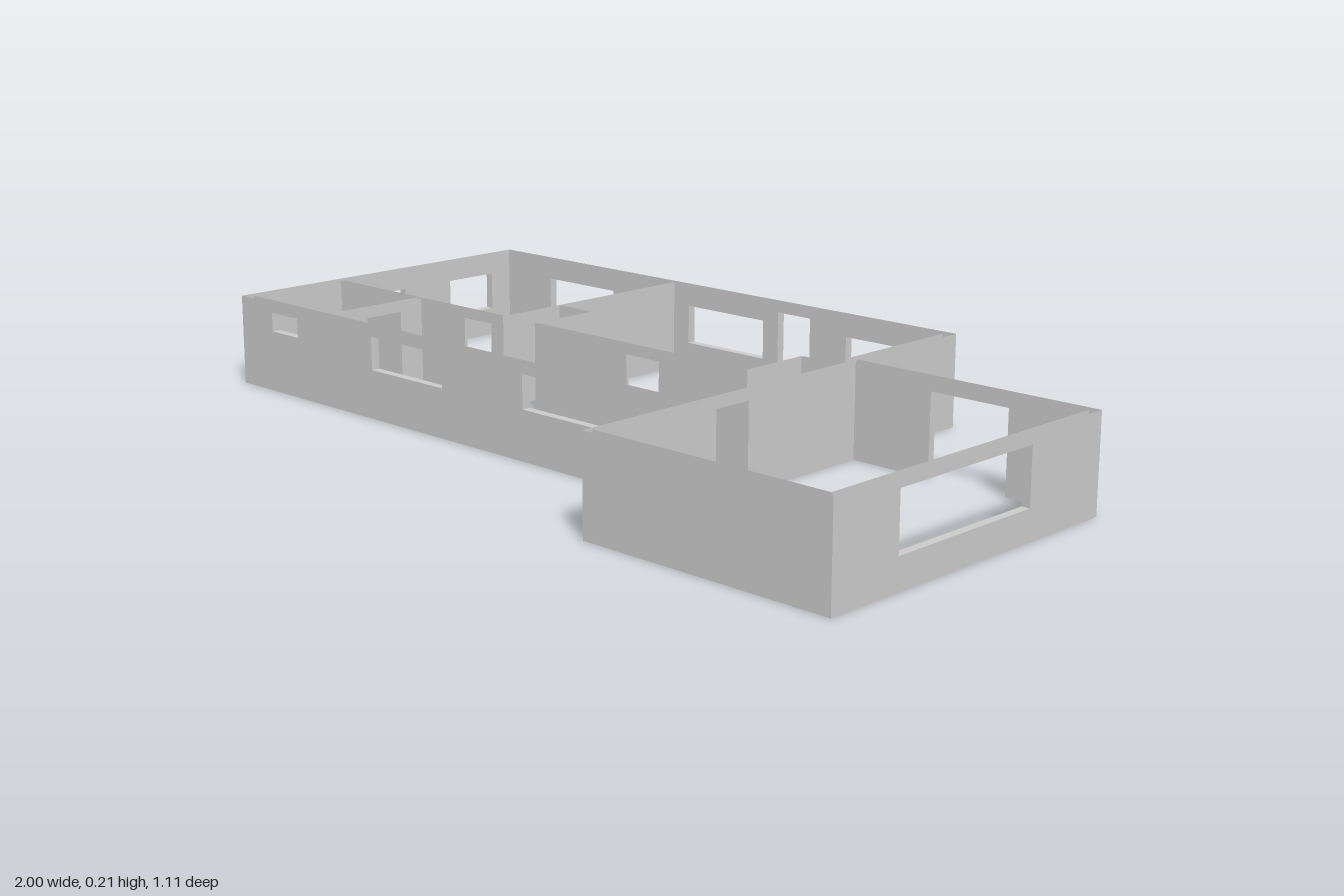
import * as THREE from 'three';
import { mergeGeometries } from 'three/addons/utils/BufferGeometryUtils.js';

const H = 0.207;
const material = new THREE.MeshStandardMaterial({ color: 0xcccccc, side: THREE.DoubleSide });

// One wall face in local (u, y), with windows as holes and doors as notches; openings are [u0, u1, y0, y1]
function face(a, b, openings, c) {
  const shape = new THREE.Shape().moveTo(a, 0);
  for (const [u0, u1, y0, y1] of openings) {
    if (y0 === 0) {
      shape.lineTo(u0, 0).lineTo(u0, y1).lineTo(u1, y1).lineTo(u1, 0);
    } else {
      shape.holes.push(new THREE.Path().moveTo(u0, y0).lineTo(u0, y1).lineTo(u1, y1).lineTo(u1, y0).closePath());
    }
  }
  shape.lineTo(b, 0).lineTo(b, H).lineTo(a, H).closePath();
  return new THREE.ShapeGeometry(shape).translate(0, 0, c);
}

// Sill, head and jambs joining the two faces of an opening
function reveals([u0, u1, y0, y1], c0, c1) {
  const t = Math.abs(c1 - c0), c = (c0 + c1) / 2, u = (u0 + u1) / 2, y = (y0 + y1) / 2;
  const level = (h) => new THREE.PlaneGeometry(u1 - u0, t).rotateX(-Math.PI / 2).translate(u, h, c);
  const jamb = (p) => new THREE.PlaneGeometry(t, y1 - y0).rotateY(Math.PI / 2).translate(p, y, c);
  const parts = [level(y1), jamb(u0), jamb(u1)];
  if (y0 > 0) parts.push(level(y0));
  return parts;
}

// Hollow wall, open at top and bottom: runs along an axis from a to b, faces at c0 (outer) and c1 (inner).
// The inner face is shortened by trim = [start, end] to meet its neighbours.
function wall(name, axis, a, b, c0, c1, openings = [], trim = [0, 0]) {
  const parts = [face(a, b, openings, c0), face(a + trim[0], b - trim[1], openings, c1)];
  for (const o of openings) parts.push(...reveals(o, c0, c1));
  const geometry = mergeGeometries(parts);
  if (axis === 'z') {
    // local u becomes z, local offset becomes x
    geometry.scale(1, 1, -1).rotateY(-Math.PI / 2);
  }
  const mesh = new THREE.Mesh(geometry, material);
  mesh.name = name;
  return mesh;
}

export function createModel() {
  const model = new THREE.Group();
  model.name = 'floorPlan';
  const T = 0.02, both = [T, T];
  const window = (a, b, y0 = 0.068, y1 = 0.158) => [a, b, y0, y1];
  const door = (a, b, top = 0.184) => [a, b, 0, top];

  // Main house outer walls
  const house = new THREE.Group();
  house.name = 'houseOuterWalls';
  house.add(
    wall('backWall', 'x', -1, 0.42, -0.555, -0.535,
      [window(-0.825, -0.6), window(-0.345, -0.11), door(-0.065, 0.03), window(0.135, 0.375)], both),
    wall('frontWall', 'x', -1, 0.42, 0.28, 0.26,
      [window(-0.885, -0.79, 0.14, 0.184), window(-0.525, -0.29, 0.11, 0.184), window(-0.04, 0.2, 0.11, 0.184)], [T, 0]),
    wall('sideWall', 'z', -0.555, 0.28, -1, -0.98, [window(-0.475, -0.335), window(-0.19, -0.05)], both),
    wall('cornerWall', 'z', -0.555, -0.22, 0.42, 0.4, [], [T, 0]),
  );

  // Annexe walls
  const annexe = new THREE.Group();
  annexe.name = 'annexeWalls';
  const A = 0.016;
  annexe.add(
    wall('annexeBackWall', 'x', 0.42, 1, -0.22, -0.204, [door(0.62, 0.805, 0.178)], [0.01, A]),
    wall('annexeFrontWall', 'x', 0.42, 1, 0.555, 0.539, [], [0.01, A]),
    wall('annexeSideWall', 'z', -0.22, 0.555, 1, 0.982, [window(0, 0.38, 0.065, 0.184)], [A, A]),
    wall('sharedWall', 'z', -0.22, 0.555, 0.42, 0.43, [door(0.12, 0.212)], [A, A]),
  );

  // Thin inner partitions
  const inner = new THREE.Group();
  inner.name = 'partitions';
  const t = 0.007;
  inner.add(
    wall('bedroomPartition', 'x', -0.98, -0.4, 0, t, [door(-0.53, -0.44)]),
    wall('bedroomDivider', 'z', -0.535, t, -0.4, -0.4 + t),
    wall('livingPartition', 'x', -0.297, 0.325, 0, t, [door(-0.015, 0.08)]),
    wall('bathroomPartition', 'z', 0, 0.26, -0.697, -0.682, [door(0.068, 0.165)]),
  );
  // Two alcoves opening off the hall
  for (const [side, x, x0, x1] of [['first', -0.297, -0.4, -0.297], ['second', 0.325, 0.325, 0.42]]) {
    inner.add(
      wall(side + 'AlcoveSide', 'z', -0.165, t, x, x - Math.sign(x) * 0.004),
      wall(side + 'AlcoveBack', 'x', x0, x1, -0.165, -0.165 + t),
    );
  }

  model.add(house, annexe, inner);
  return model;
}
